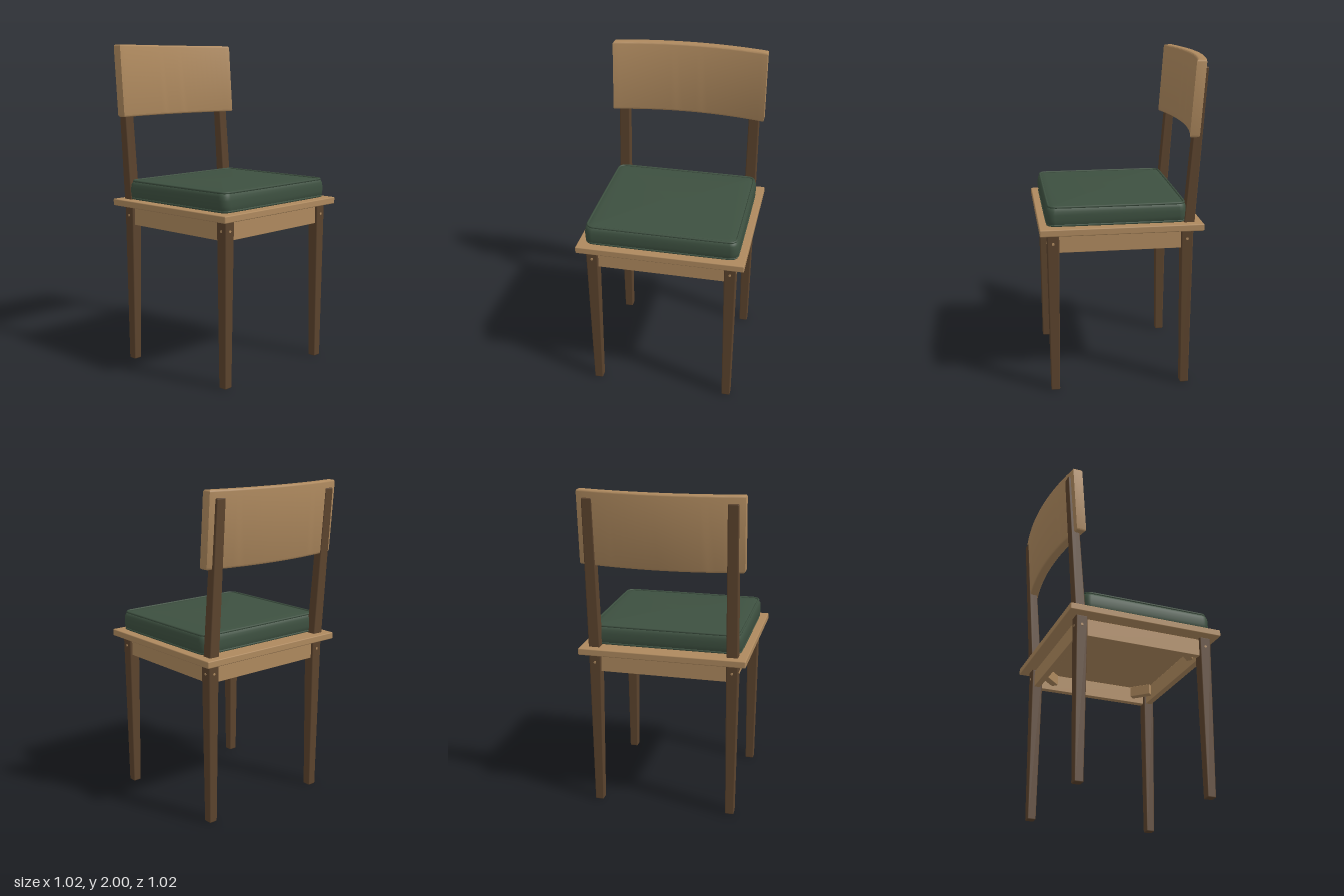
import * as THREE from 'three';
import { toCreasedNormals } from 'three/addons/utils/BufferGeometryUtils.js';
import { RoundedBoxGeometry } from 'three/addons/geometries/RoundedBoxGeometry.js';

const material = (name, color) => Object.assign(new THREE.MeshStandardMaterial({ color }), { name });

// Move every vertex of a geometry by a rule
function reshape(geometry, rule) {
  const pos = geometry.attributes.position;
  const v = new THREE.Vector3();
  for (let i = 0; i < pos.count; i++) {
    rule(v.fromBufferAttribute(pos, i));
    pos.setXYZ(i, v.x, v.y, v.z);
  }
  return geometry;
}

// Soft-edged bar from y0 to y1, tapering in width and depth, leaning along z
function taperedBar(y0, y1, size0, size1, lean = 0) {
  const h = y1 - y0;
  const geometry = new RoundedBoxGeometry(1, h, 1, 2, 0.006);
  // rebuild the cross-section from a slim box so its edges stay small
  const slim = new RoundedBoxGeometry(0.07, h, 0.07, 2, 0.007);
  geometry.dispose();
  return reshape(slim, (v) => {
    const t = v.y / h + 0.5;
    v.x *= THREE.MathUtils.lerp(size0[0], size1[0], t) / 0.07;
    v.z = v.z * THREE.MathUtils.lerp(size0[1], size1[1], t) / 0.07 + lean * t;
    v.y += (y0 + y1) / 2;
  });
}

// Rounded rectangle outline of the cushion, drawn in by an inset
function cushionRing(inset, y) {
  const hx = 0.467 - inset, hz = 0.418 - inset, r = Math.max(0.05 - inset * 0.6, 0.015);
  const points = [], steps = 8;
  for (let c = 0; c < 4; c++) {
    const sx = c === 0 || c === 3 ? 1 : -1, sz = c < 2 ? 1 : -1;
    for (let i = 0; i <= steps; i++) {
      const a = (c + i / steps) * Math.PI / 2;
      points.push(new THREE.Vector3(sx * (hx - r) + r * Math.cos(a), y, sz * (hz - r) + r * Math.sin(a)));
    }
  }
  return points;
}

function cushionGeometry() {
  const profile = [[0.03, 1.041], [0.012, 1.046], [0.003, 1.06], [0, 1.085], [0, 1.115],
    [0.003, 1.138], [0.01, 1.152], [0.02, 1.159], [0.05, 1.164], [0.14, 1.169], [0.26, 1.172], [0.39, 1.173]];
  const rings = profile.map(([inset, y]) => cushionRing(inset, y));
  const n = rings[0].length, index = [];
  for (let i = 0; i < rings.length - 1; i++) {
    for (let j = 0; j < n; j++) {
      const a = i * n + j, b = i * n + (j + 1) % n;
      index.push(a, a + n, b, b, a + n, b + n);
    }
  }
  const last = (rings.length - 1) * n, top = rings.length * n;
  for (let j = 0; j < n; j++) {
    const k = (j + 1) % n;
    index.push(last + j, top, last + k, j, k, top + 1);
  }
  const points = [...rings.flat(), new THREE.Vector3(0, 1.173, 0), new THREE.Vector3(0, 1.041, 0)];
  const geometry = new THREE.BufferGeometry().setFromPoints(points);
  geometry.setIndex(index);
  geometry.computeVertexNormals();
  return geometry;
}

// Curved back panel: an arc extruded upward, then leaned backward
function backPanelGeometry() {
  const half = 0.488, sag = 0.057, bevel = 0.012, y0 = 1.556, y1 = 2, steps = 24;
  const arc = (x, offset) => new THREE.Vector2(x, offset - sag * (x / half) ** 2);
  const outline = [];
  for (let i = 0; i <= steps; i++) outline.push(arc(-half + 2 * half * i / steps, 0.42));
  for (let i = steps; i >= 0; i--) outline.push(arc(-half + 2 * half * i / steps, 0.479));
  const geometry = new THREE.ExtrudeGeometry(new THREE.Shape(outline), {
    depth: y1 - y0 - 2 * bevel, bevelThickness: bevel, bevelSize: bevel, bevelOffset: -bevel, bevelSegments: 3,
  });
  geometry.rotateX(-Math.PI / 2).translate(0, y0 + bevel, 0);
  reshape(geometry, (v) => { v.z -= 0.033 * (v.y - y0) / (y1 - y0); });
  return toCreasedNormals(geometry, 0.6);
}

export function createModel() {
  const lightWood = material('light wood', 0xae895e);
  const darkWood = material('dark wood', 0x5b432d);
  const fabric = material('green fabric', 0x3d5040);
  const chair = new THREE.Group();
  chair.name = 'chair';

  const add = (name, geometry, mat, x = 0, y = 0, z = 0) => {
    const mesh = new THREE.Mesh(geometry, mat);
    mesh.name = name;
    mesh.position.set(x, y, z);
    chair.add(mesh);
    return mesh;
  };

  const legX = 0.422, frontZ = 0.43, backZ = -0.37, midZ = (frontZ + backZ) / 2;

  // Seat board
  add('seatBoard', new RoundedBoxGeometry(1.02, 0.042, 0.97, 2, 0.006), lightWood, 0, 1.021, 0.025);

  // Cushion with piping along its upper and lower edges
  add('cushion', cushionGeometry(), fabric, 0, 0, 0.05);
  for (const [name, inset, y] of [['upperPiping', 0.016, 1.16], ['lowerPiping', 0.008, 1.053]]) {
    const path = new THREE.CatmullRomCurve3(cushionRing(inset, y), true);
    add(name, new THREE.TubeGeometry(path, 160, 0.007, 8, true), fabric, 0, 0, 0.05);
  }

  // Legs, joint pegs and corner blocks
  const leg = taperedBar(0, 1, [0.053, 0.053], [0.073, 0.073]);
  const peg = new THREE.CylinderGeometry(0.008, 0.008, 0.006, 16);
  const block = new RoundedBoxGeometry(0.14, 0.07, 0.045, 1, 0.004);
  for (const sx of [-1, 1]) {
    const side = sx > 0 ? 'Left' : 'Right';
    for (const [end, z, sz] of [['front', frontZ, 1], ['back', backZ, -1]]) {
      add(`${end}${side}Leg`, leg, darkWood, sx * legX, 0, z);
      add(`${end}${side}EndPeg`, peg, lightWood, sx * legX, 0.94, z + sz * 0.035).rotation.x = Math.PI / 2;
      add(`${end}${side}SidePeg`, peg, lightWood, sx * (legX + 0.035), 0.94, z).rotation.z = Math.PI / 2;
      add(`${end}${side}CornerBlock`, block, lightWood, sx * (legX - 0.075), 0.945, z - sz * 0.075)
        .rotation.y = sx * sz * Math.PI / 4;
    }
  }

  // Aprons between the legs
  const longApron = new RoundedBoxGeometry(2 * legX - 0.06, 0.108, 0.04, 1, 0.003);
  const sideApron = new RoundedBoxGeometry(0.04, 0.108, frontZ - backZ - 0.06, 1, 0.003);
  add('frontApron', longApron, lightWood, 0, 0.934, frontZ);
  add('backApron', longApron, lightWood, 0, 0.934, backZ);
  for (const sx of [-1, 1]) add(sx > 0 ? 'leftApron' : 'rightApron', sideApron, lightWood, sx * legX, 0.934, midZ);

  // Leaning back posts
  const post = taperedBar(1.02, 1.955, [0.07, 0.064], [0.062, 0.05], -0.071);
  for (const sx of [-1, 1]) add(sx > 0 ? 'leftBackPost' : 'rightBackPost', post, darkWood, sx * legX, 0, -0.379);

  // Curved back panel
  add('backPanel', backPanelGeometry(), lightWood);

  return chair;
}
